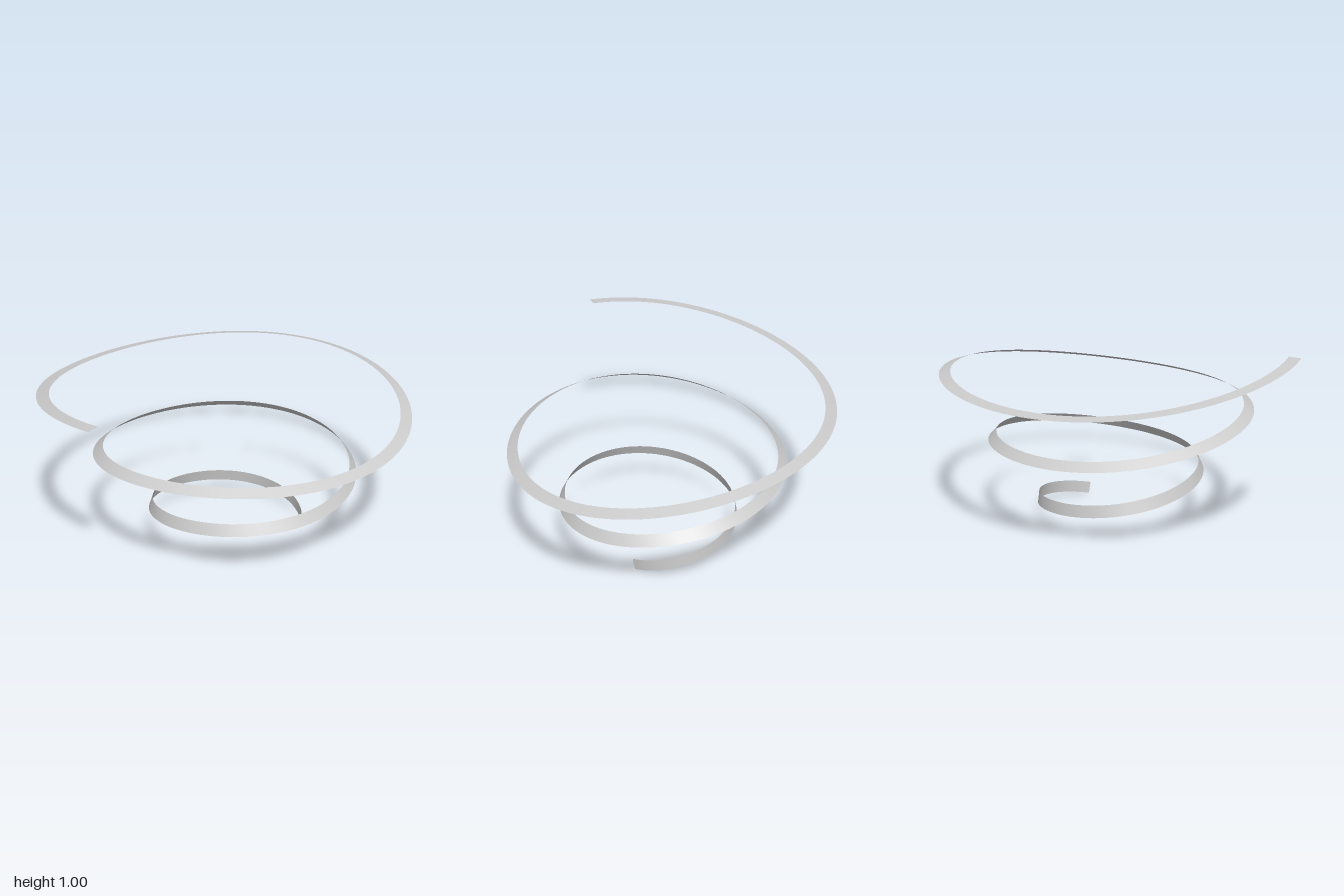
import * as THREE from 'three';

const WIDTH = 0.067, T0 = -0.033, T1 = 2.607, STEPS = 300;

// Lower, outer edge of the ribbon after t turns: a widening spiral, bent like a saddle as it grows
function edgePoint(t) {
  const a = t * Math.PI * 2;
  const rx = 0.355 + 0.302 * t - 0.0065 * t * t;
  const rz = 0.3435 + 0.27 * t - 0.006 * t * t;
  const y = 0.0165 + 0.362 * t + 0.04 * rx * rz * Math.sin(2 * a);
  return new THREE.Vector3(0.068 + rx * Math.cos(a), y, 0.062 - rz * Math.sin(a));
}

// Upper, inner edge: the ribbon leans from upright to almost flat as it climbs
function innerPoint(t) {
  const a = t * Math.PI * 2, lean = THREE.MathUtils.degToRad(42 * t - 3.3 * t * t);
  const tangent = edgePoint(t + 0.002).sub(edgePoint(t - 0.002)).normalize();
  const out = new THREE.Vector3(Math.cos(a), 0, -0.94 * Math.sin(a));
  const up = out.clone().cross(tangent).normalize();
  return edgePoint(t)
    .addScaledVector(up, WIDTH * Math.cos(lean))
    .addScaledVector(out, -WIDTH * Math.sin(lean));
}

export function createModel() {
  const positions = [], index = [];
  for (let i = 0; i <= STEPS; i++) {
    const t = THREE.MathUtils.lerp(T0, T1, i / STEPS);
    positions.push(...edgePoint(t).toArray(), ...innerPoint(t).toArray());
    if (i < STEPS) {
      const b = i * 2;
      index.push(b, b + 2, b + 1, b + 1, b + 2, b + 3);
    }
  }
  const geometry = new THREE.BufferGeometry();
  geometry.setAttribute('position', new THREE.Float32BufferAttribute(positions, 3));
  geometry.setIndex(index);
  geometry.computeVertexNormals();

  const ribbon = new THREE.Mesh(
    geometry,
    new THREE.MeshStandardMaterial({ color: 0xcccccc, side: THREE.DoubleSide })
  );
  ribbon.name = 'spiralRibbon';

  const group = new THREE.Group();
  group.name = 'ribbonSpiral';
  group.add(ribbon);
  return group;
}
